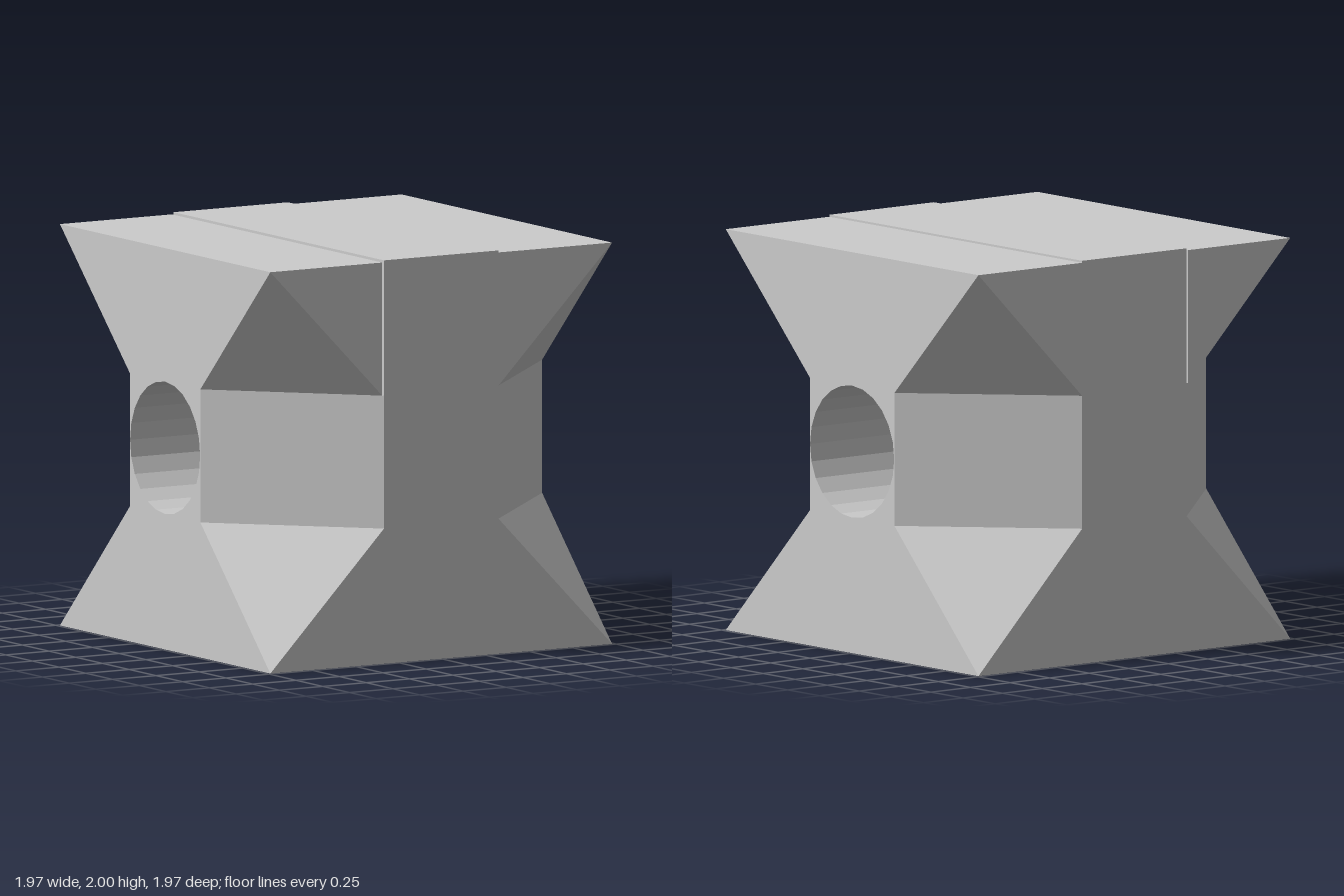
import * as THREE from 'three';
import { ConvexGeometry } from 'three/addons/geometries/ConvexGeometry.js';

const A = 0.985; // half width of the cube
const C = 0.33;  // half width of the middle third
const LO = 0.67, HI = 1.33;

export function createModel() {
  const group = new THREE.Group();
  const material = new THREE.MeshStandardMaterial({ color: 0xcccccc, flatShading: true });

  const add = (name, geometry, x = 0, y = 0, z = 0) => {
    const mesh = new THREE.Mesh(geometry, material);
    mesh.name = name;
    mesh.position.set(x, y, z);
    group.add(mesh);
    return mesh;
  };
  const hull = (points) => new ConvexGeometry(points.map((p) => new THREE.Vector3(...p)));

  // Centre slab above and below the bore
  add('centreTop', new THREE.BoxGeometry(2 * C, 2 - HI, 2 * A), 0, (2 + HI) / 2, 0);
  add('centreBottom', new THREE.BoxGeometry(2 * C, LO, 2 * A), 0, LO / 2, 0);

  // Square beam along x with a round bore through it
  const square = new THREE.Shape([[-C, -C], [C, -C], [C, C], [-C, C]].map((p) => new THREE.Vector2(...p)));
  const circle = [];
  for (let i = 0; i < 24; i++) {
    const t = (-i / 24) * Math.PI * 2;
    circle.push(new THREE.Vector2(Math.cos(t) * 0.328, Math.sin(t) * 0.328));
  }
  square.holes.push(new THREE.Path(circle));
  const beam = new THREE.ExtrudeGeometry(square, { depth: 2 * A, bevelEnabled: false });
  beam.translate(0, 0, -A).rotateY(Math.PI / 2);
  add('boredBeam', beam, 0, 1, 0);

  for (const sz of [1, -1]) {
    // Front and back blocks beside the beam
    add('middleBlock', new THREE.BoxGeometry(2 * C, HI - LO, A - C), 0, 1, sz * (A + C) / 2);

    // Chamfered waist corners
    for (const sx of [1, -1]) {
      const corner = [];
      for (const y of [LO, HI]) {
        corner.push([sx * C, y, sz * C], [sx * A, y, sz * C], [sx * C, y, sz * A]);
      }
      add('waistCorner', hull(corner));
    }
  }

  // Flared side wedges; a thin slit separates the upper one at -x from the centre
  for (const sx of [1, -1]) {
    for (const [name, yOuter, yWaist] of [['lowerWedge', 0, LO], ['upperWedge', 1.99, HI]]) {
      const inner = sx < 0 && yOuter > 1 ? C + 0.01 : C;
      const points = [];
      for (const sz of [1, -1]) {
        points.push(
          [sx * inner, yOuter, sz * A], [sx * A, yOuter, sz * A],
          [sx * inner, yWaist, sz * A], [sx * A, yWaist, sz * C],
        );
      }
      add(name, hull(points));
    }
  }

  return group;
}
